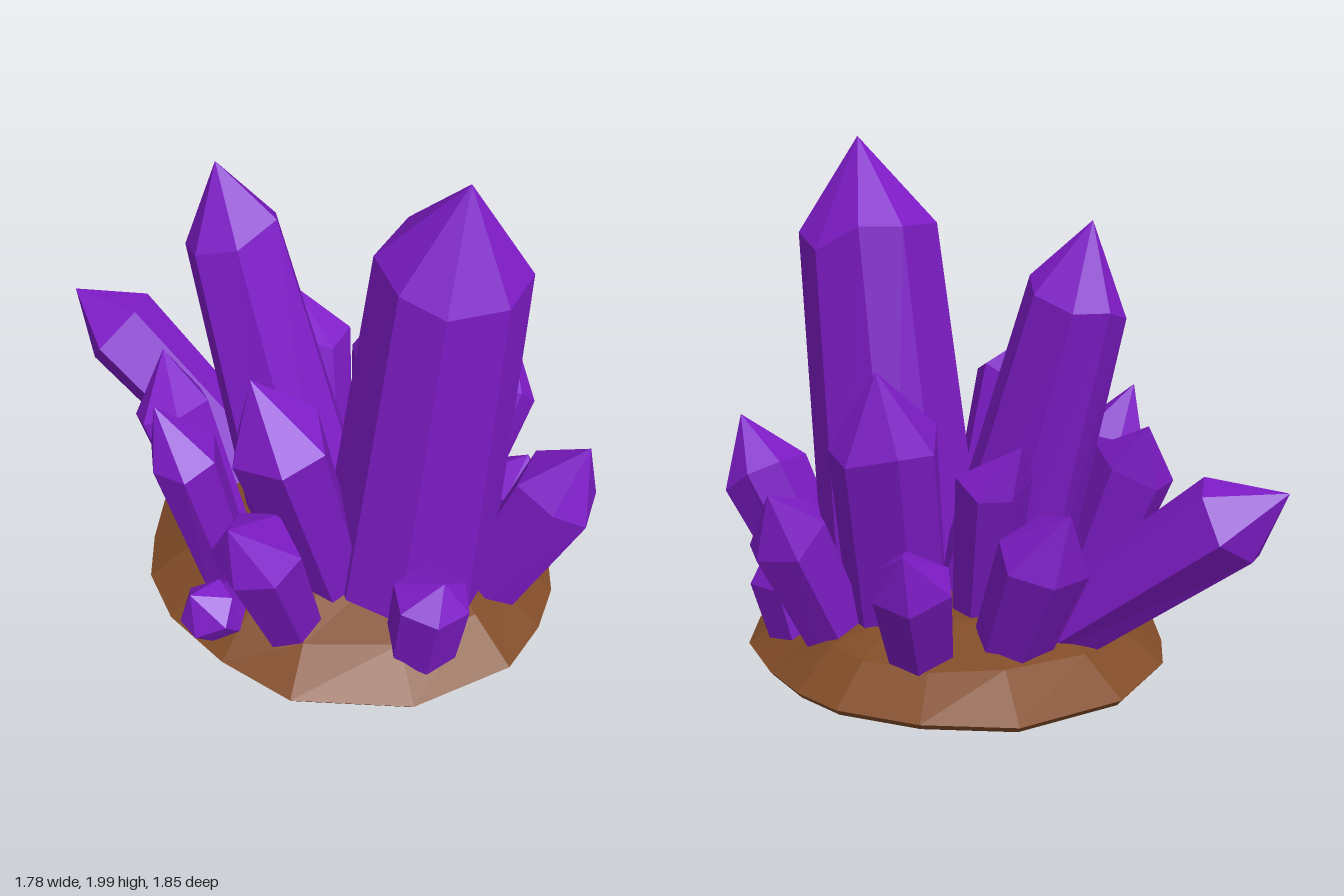
import * as THREE from 'three';

// Small seeded generator for the irregular facets
function seeded(seed) {
  let s = seed * 7919 + 13;
  return () => ((s = (s * 16807) % 2147483647) / 2147483647);
}

// Flat-faced geometry from rings of equal length, bottom to top, with a tip and an optional inner cap
function skin(rings, tip, base) {
  const pos = [];
  const tri = (a, b, c) => pos.push(...a.toArray(), ...b.toArray(), ...c.toArray());
  const n = rings[0].length;
  const last = rings[rings.length - 1];
  for (let i = 0; i < n; i++) {
    const j = (i + 1) % n;
    for (let k = 0; k < rings.length - 1; k++) {
      const lo = rings[k], hi = rings[k + 1];
      tri(lo[i], lo[j], hi[j]);
      tri(lo[i], hi[j], hi[i]);
    }
    tri(last[i], last[j], tip);
    if (base) tri(rings[0][j], rings[0][i], base);
  }
  const g = new THREE.BufferGeometry();
  g.setAttribute('position', new THREE.Float32BufferAttribute(pos, 3));
  g.computeVertexNormals();
  return g;
}

// Crystal: a prism with a narrowed open root, closed by an off-centre point
function crystalGeometry({ base, shoulder, tip, r0, r1, sides = 6 }, seed) {
  const rand = seeded(seed);
  const b = new THREE.Vector3(...base), s = new THREE.Vector3(...shoulder), t = new THREE.Vector3(...tip);
  const d = s.clone().sub(b).normalize();
  b.addScaledVector(d, (0.13 - b.y) / d.y); // runs down into the hollow of the rock
  const u = new THREE.Vector3(0, 0, 1).cross(d).normalize();
  const v = d.clone().cross(u);
  const root = [], low = [], high = [];
  const turn = rand() * 6.28;
  const drop = t.distanceTo(s) * 0.25;
  for (let i = 0; i < sides; i++) {
    const a = turn + ((i + (rand() - 0.5) * 0.4) / sides) * Math.PI * 2;
    const dir = u.clone().multiplyScalar(Math.cos(a)).addScaledVector(v, Math.sin(a));
    root.push(b.clone().addScaledVector(dir, r0 * 0.6).addScaledVector(d, -0.085));
    low.push(b.clone().addScaledVector(dir, r0));
    high.push(s.clone().addScaledVector(dir, r1 * (0.95 + rand() * 0.12)).addScaledVector(d, (rand() - 0.5) * drop));
  }
  return skin([root, low, high], t);
}

export function createModel() {
  const model = new THREE.Group();
  model.name = 'crystalCluster';
  const purple = new THREE.MeshStandardMaterial({ color: 0x7f1cc8 });
  purple.name = 'purple crystal';
  const brown = new THREE.MeshStandardMaterial({ color: 0x824c28, side: THREE.DoubleSide });
  brown.name = 'brown rock';

  // Rock: a hollow low dome with an irregular, slightly tilted rim
  const outline = [
    [0.05, -0.84], [-0.37, -0.72], [-0.64, -0.44], [-0.72, -0.22], [-0.77, 0], [-0.73, 0.25],
    [-0.58, 0.53], [-0.37, 0.78], [0.07, 0.92], [0.48, 0.82], [0.66, 0.65], [0.78, 0.47],
    [0.86, 0.2], [0.82, -0.1], [0.75, -0.33], [0.64, -0.52], [0.38, -0.72],
  ];
  const rand = seeded(5);
  const ring = (scale, y, wobble) => outline.map(([x, z]) => new THREE.Vector3(
    0.05 + (x - 0.05) * scale, y + 0.045 - 0.03 * z * scale + (rand() - 0.5) * wobble, 0.04 + (z - 0.04) * scale));
  const inner = [ring(0.46, 0.215, 0.01), ring(0.76, 0.125, 0.01), ring(0.96, 0.01, 0)];
  const outer = [ring(0.975, -0.01, 0), ring(1, 0.015, 0), ring(0.79, 0.145, 0.03), ring(0.48, 0.24, 0.02)];
  const rock = new THREE.Mesh(
    skin([...inner, ...outer], new THREE.Vector3(0.05, 0.31, 0.04), new THREE.Vector3(0.05, 0.28, 0.04)), brown);
  rock.name = 'rockBase';
  model.add(rock);

  // Crystals, from the tallest to the small ones around the edge
  const crystals = {
    mainCrystal: { base: [0.2, 0.2, 0.34], shoulder: [0.3, 1.64, 0.45], tip: [0.32, 2, 0.54], r0: 0.34, r1: 0.265, sides: 8 },
    tallBackCrystal: { base: [-0.1, 0.2, 0.03], shoulder: [-0.33, 1.48, -0.25], tip: [-0.38, 1.76, -0.27], r0: 0.26, r1: 0.185, sides: 7 },
    backLeftCrystal: { base: [0.3, 0.2, -0.09], shoulder: [0.4, 1.0, -0.29], tip: [0.45, 1.28, -0.39], r0: 0.2, r1: 0.205, sides: 7 },
    frontMiddleCrystal: { base: [-0.1, 0.2, 0.36], shoulder: [-0.32, 1.01, 0.46], tip: [-0.4, 1.23, 0.37], r0: 0.14, r1: 0.18 },
    frontRightCrystal: { base: [-0.3, 0.15, 0.48], shoulder: [-0.45, 0.66, 0.63], tip: [-0.56, 0.85, 0.7], r0: 0.13, r1: 0.17 },
    frontLeftCrystal: { base: [0.5, 0.12, 0.45], shoulder: [0.73, 0.66, 0.56], tip: [0.81, 0.88, 0.62], r0: 0.14, r1: 0.17 },
    rightCrystal: { base: [-0.47, 0.15, 0.17], shoulder: [-0.63, 0.81, 0.19], tip: [-0.72, 1.02, 0.16], r0: 0.11, r1: 0.14 },
    rightBackCrystal: { base: [-0.44, 0.15, 0], shoulder: [-0.62, 0.78, -0.14], tip: [-0.62, 0.97, -0.27], r0: 0.12, r1: 0.16 },
    longLeaningCrystal: { base: [-0.28, 0.26, -0.38], shoulder: [-0.73, 0.755, -0.78], tip: [-0.89, 0.89, -0.92], r0: 0.14, r1: 0.175 },
    backMiddleCrystal: { base: [-0.02, 0.15, -0.42], shoulder: [-0.1, 0.64, -0.64], tip: [-0.14, 0.83, -0.79], r0: 0.14, r1: 0.18 },
    innerBackCrystal: { base: [0.02, 0.2, -0.22], shoulder: [0.02, 0.84, -0.4], tip: [-0.04, 1.01, -0.54], r0: 0.11, r1: 0.145 },
    backEdgeCrystal: { base: [0.3, 0.2, -0.42], shoulder: [0.38, 0.56, -0.62], tip: [0.44, 0.72, -0.75], r0: 0.12, r1: 0.145 },
    leftCrystal: { base: [0.54, 0.15, -0.07], shoulder: [0.75, 0.64, -0.18], tip: [0.83, 0.83, -0.3], r0: 0.13, r1: 0.16 },
    smallLeftCrystal: { base: [0.66, 0.12, 0.1], shoulder: [0.71, 0.36, 0.12], tip: [0.77, 0.49, 0.14], r0: 0.13, r1: 0.14 },
    smallFrontCrystal: { base: [0.16, 0.12, 0.7], shoulder: [0.17, 0.43, 0.77], tip: [0.2, 0.53, 0.82], r0: 0.14, r1: 0.145 },
    smallRightCrystal: { base: [-0.54, 0.14, 0.37], shoulder: [-0.61, 0.22, 0.41], tip: [-0.67, 0.31, 0.42], r0: 0.11, r1: 0.12 },
  };
  Object.entries(crystals).forEach(([name, spec], i) => {
    const mesh = new THREE.Mesh(crystalGeometry(spec, i + 3), purple);
    mesh.name = name;
    model.add(mesh);
  });
  return model;
}
